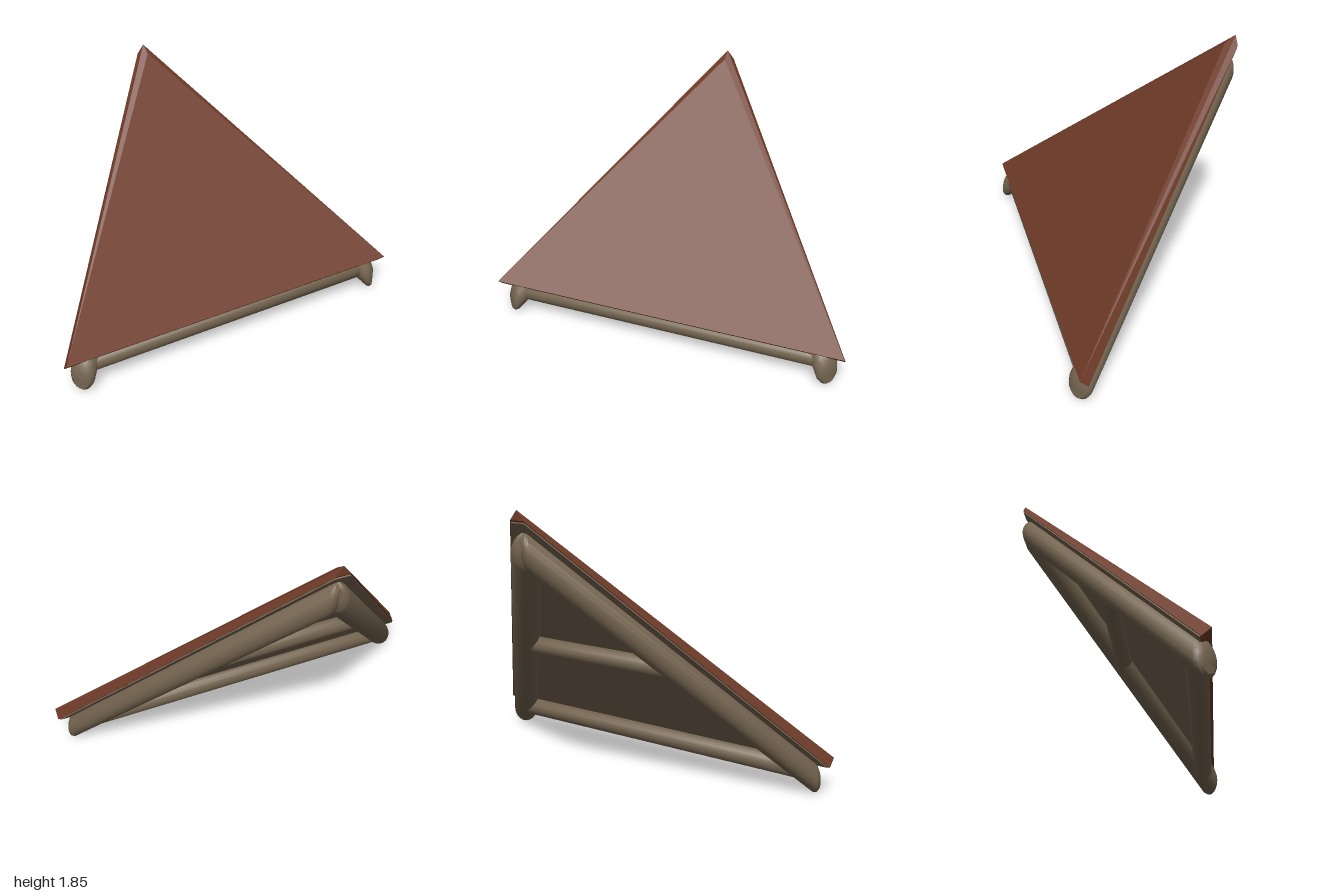
import * as THREE from 'three';
import { toCreasedNormals } from 'three/addons/utils/BufferGeometryUtils.js';
import { ConvexGeometry } from 'three/addons/geometries/ConvexGeometry.js';

const V = (x, y, z) => new THREE.Vector3(x, y, z);
const swap = (p) => V(p.z, p.y, p.x); // mirror across the diagonal plane x = z

export function createModel() {
  const group = new THREE.Group();
  const roofRed = new THREE.MeshStandardMaterial({ color: 0x6f3b28 });
  const logWood = new THREE.MeshStandardMaterial({ color: 0x756550 });

  const add = (name, geometry, material) => {
    const mesh = new THREE.Mesh(geometry, material);
    mesh.name = name;
    group.add(mesh);
    return mesh;
  };

  // Log along z with softened ends
  const log = (from, to, r, soft = 0.04, end = 0.6) => {
    const profile = [
      [0, from], [r * end, from], [r * 0.88, from + soft * 0.45], [r, from + soft],
      [r, to - soft], [r * 0.88, to - soft * 0.45], [r * end, to], [0, to],
    ].map(([x, y]) => new THREE.Vector2(x, y));
    return new THREE.LatheGeometry(profile, 20).rotateX(Math.PI / 2);
  };

  // Roof slab: inset top face, bevelled rim and a lower face with a clipped peak
  const topFace = [V(-0.9, 1.8, -0.9), V(-0.89, 0.25, 0.945), V(0.945, 0.25, -0.89)];
  const rim = [V(-0.95, 1.85, -0.95), V(-0.93, 0.25, 0.99), V(0.99, 0.25, -0.93)];
  const lowHalf = [V(-0.985, 1.79, -0.915), V(-0.97, 0.2, 0.95)];
  const lowFace = [...lowHalf, ...lowHalf.map(swap)];
  add('roofSlab', new ConvexGeometry([...topFace, ...rim, ...lowFace]), roofRed);

  // Wooden lining under the slab
  const down = V(-0.54, -0.65, -0.54).multiplyScalar(0.008);
  const inner = lowFace.map((p) => p.clone().lerp(V(-0.33, 0.73, -0.33), 0.01));
  add('underside', new ConvexGeometry([...inner, ...inner.map((p) => p.clone().add(down))]), logWood);

  // Sloping rafters: sheared logs with upright end cuts
  const slope = 0.84;
  const rafter = (side) => {
    const g = log(-0.93, 0.91, 0.088);
    const p = g.attributes.position;
    for (let i = 0; i < p.count; i++) {
      const z = p.getZ(i);
      const offset = 0.885 - 0.015 * z;
      p.setXYZ(i, p.getX(i) + side * offset, p.getY(i) * 1.3 + 0.09 + slope * (0.91 - z), z);
    }
    return g;
  };
  add('rightRafter', toCreasedNormals(rafter(-1), 0.7), logWood);
  add('backRafter', toCreasedNormals(rafter(1).rotateY(Math.PI / 2), 0.7), logWood);

  // Level logs running along the diagonal between the rafters
  const beams = [
    ['eaveLog', 1.19, 0.067, 0.165, -0.03],
    ['crossBeam', 0.62, 0.06, 0.855, -0.4425],
  ];
  for (const [name, half, r, y, c] of beams) {
    const beam = add(name, toCreasedNormals(log(-half, half, r, 0.02, 0.8), 0.7), logWood);
    beam.rotation.y = -Math.PI / 4;
    beam.position.set(c, y, c);
  }
  return group;
}
